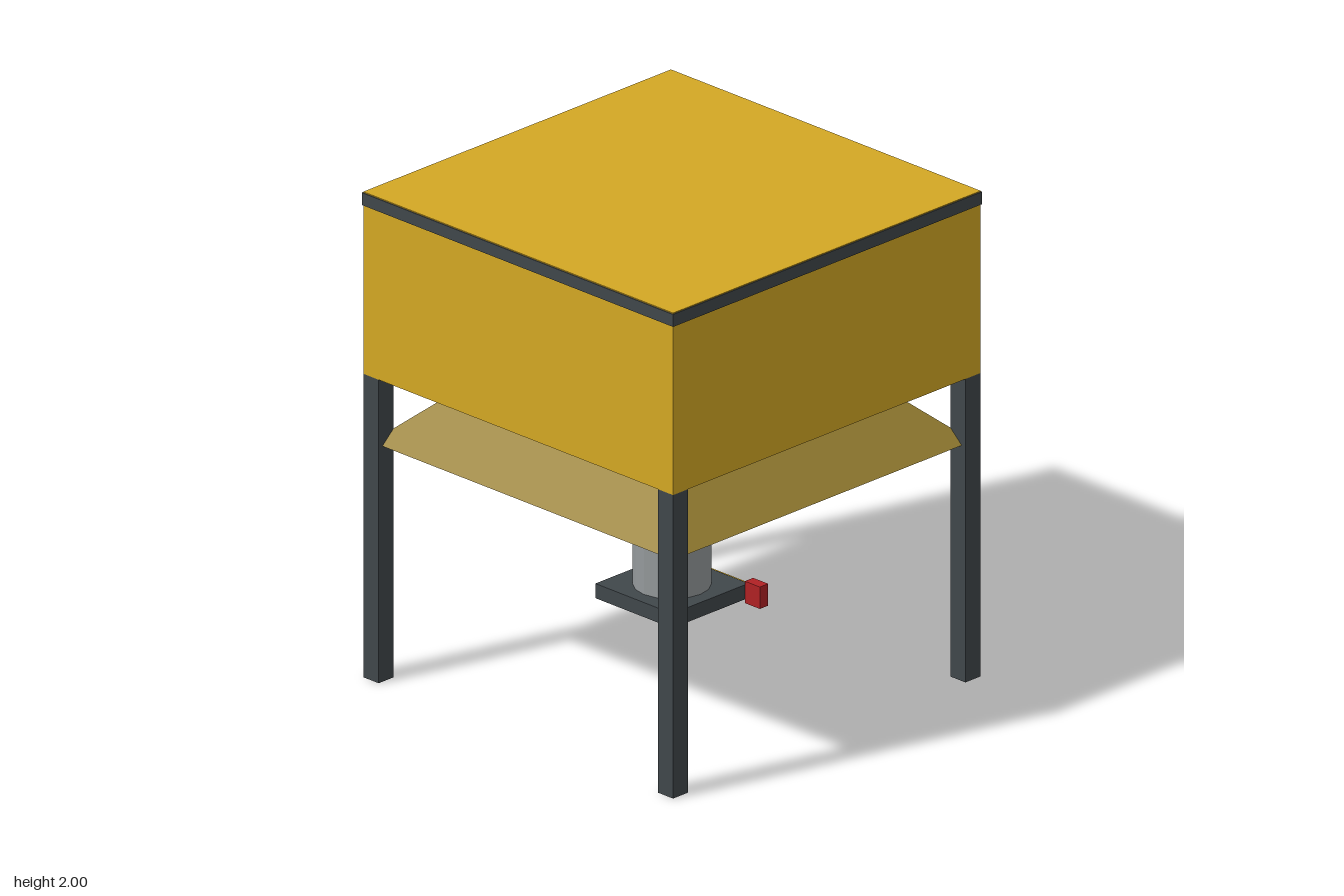
import * as THREE from 'three';

function mat(name, color) {
  const m = new THREE.MeshStandardMaterial({ color });
  m.name = name;
  return m;
}

export function createModel() {
  const yellow = mat('yellow paint', 0xd4a824);
  const ochre = mat('dull ochre', 0x9a8233);
  const dark = mat('dark steel', 0x40474b);
  const steel = mat('grey steel', 0x94999b);
  const red = mat('red grip', 0xb02124);

  const group = new THREE.Group();
  group.name = 'hopper';

  function add(name, geometry, material, x, y, z) {
    const mesh = new THREE.Mesh(geometry, material);
    mesh.name = name;
    mesh.position.set(x, y, z);
    group.add(mesh);
    return mesh;
  }
  // Box given by its size, its underside and its centre in x and z
  const box = (name, material, w, h, d, x, bottom, z) =>
    add(name, new THREE.BoxGeometry(w, h, d), material, x, bottom + h / 2, z);

  // Bin with a dark rim and a coloured lid
  box('bin', yellow, 1.652, 0.695, 1.652, 0, 1.25, 0);
  box('rim', dark, 1.66, 0.051, 1.66, 0, 1.945, 0);
  box('lid', yellow, 1.652, 0.004, 1.652, 0, 1.996, 0);

  // Four square legs
  for (const x of [-0.785, 0.785]) {
    for (const z of [-0.785, 0.785]) box('leg', dark, 0.08, 1.25, 0.08, x, 0, z);
  }

  // Flared skirt: a four-sided frustum whose narrow end sits inside the bin
  const skirt = new THREE.CylinderGeometry(0.445 * Math.SQRT2, 0.805 * Math.SQRT2, 0.33, 4, 1)
    .rotateY(Math.PI / 4).toNonIndexed();
  skirt.computeVertexNormals();
  add('skirt', skirt, ochre, 0, 0.97 + 0.165, 0);

  // Outlet pipe, faceted
  const pipe = new THREE.CylinderGeometry(0.15, 0.15, 0.62, 16).toNonIndexed();
  pipe.computeVertexNormals();
  add('outletPipe', pipe, steel, 0, 0.63, 0);

  // Slide gate with its bar and grip
  box('gatePlate', dark, 0.41, 0.06, 0.41, 0, 0.325, 0);
  box('gateBar', yellow, 0.41, 0.04, 0.04, 0, 0.335, -0.207);
  box('gateGrip', red, 0.08, 0.09, 0.045, 0.245, 0.31, -0.207);

  // Sign at the back: dark frame with a thin coloured face
  box('signFrame', dark, 0.2, 0.13, 0.018, 0, 0.668, -0.795);
  box('signFace', yellow, 0.165, 0.095, 0.006, 0, 0.6855, -0.805);

  return group;
}
